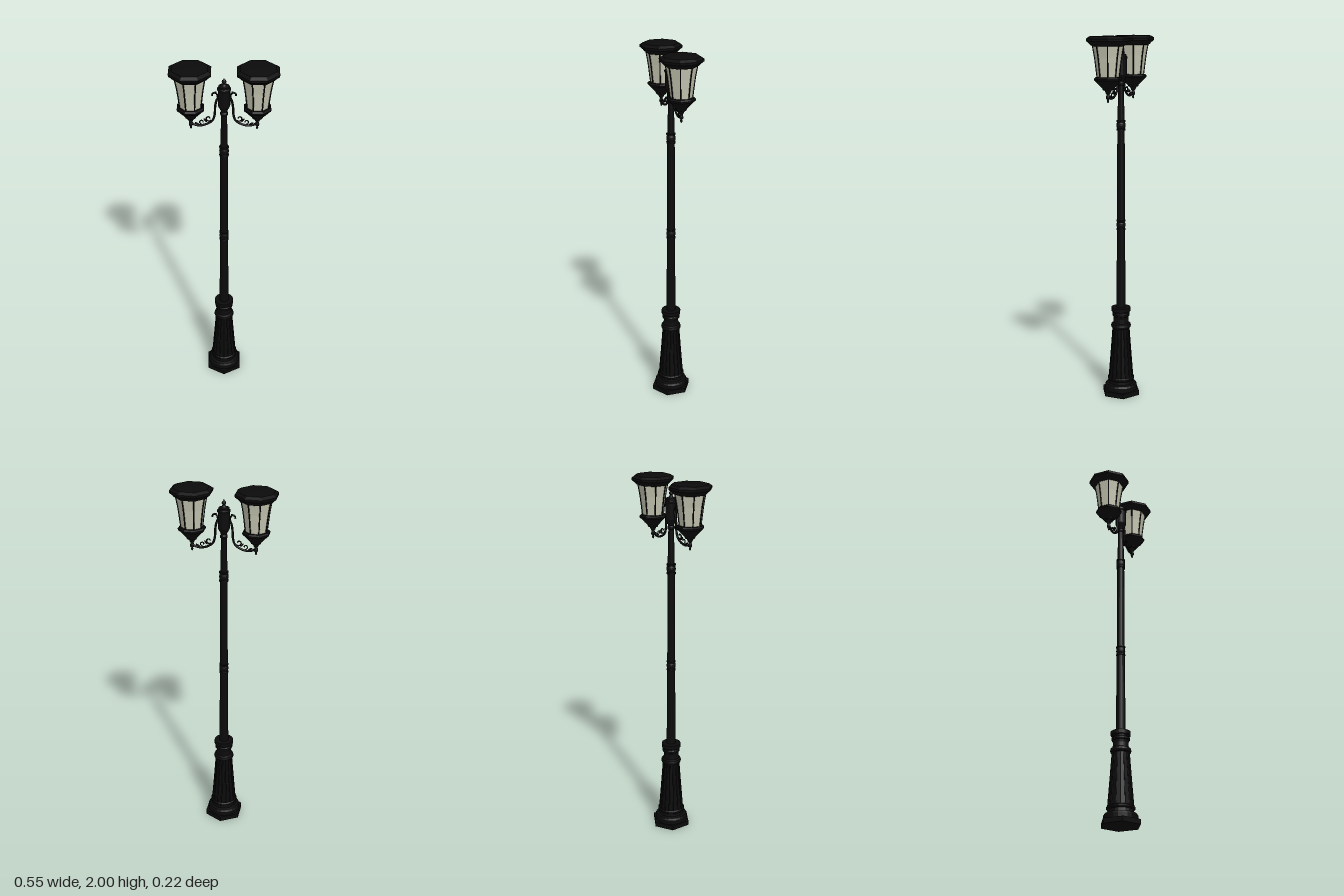
import * as THREE from 'three';

const iron = new THREE.MeshStandardMaterial({ color: 0x0b0b0b });
const facetedIron = new THREE.MeshStandardMaterial({ color: 0x0b0b0b, flatShading: true });
const glass = new THREE.MeshStandardMaterial({ color: 0xc8c8b4, flatShading: true });

const LANTERN_X = 0.168;
const OCT = 1 / Math.cos(Math.PI / 8); // flat-to-corner factor

function add(parent, name, geometry, material) {
  const mesh = new THREE.Mesh(geometry, material);
  mesh.name = name;
  parent.add(mesh);
  return mesh;
}

// Profile is [radius, y] pairs, bottom to top
function turned(parent, name, profile, sides, material = facetedIron, phi = 0, scale = 1) {
  const points = profile.map(([r, y]) => new THREE.Vector2(r * scale, y));
  return add(parent, name, new THREE.LatheGeometry(points, sides, phi), material);
}

const octagonal = (parent, name, profile, material) =>
  turned(parent, name, profile, 8, material, Math.PI / 8, OCT);

function rod(parent, name, points, radius, segments = 24) {
  const curve = new THREE.CatmullRomCurve3(points.map(([x, y, z = 0]) => new THREE.Vector3(x, y, z)));
  return add(parent, name, new THREE.TubeGeometry(curve, segments, radius, 8), iron);
}

// Spiral end of a bracket scroll
function scroll(parent, name, cx, cy, r, start, turn, thickness) {
  const points = [];
  for (let i = 0; i <= 10; i++) {
    const t = i / 10, a = start + turn * t, k = r * (1 - 0.65 * t);
    points.push([cx + k * Math.cos(a), cy + k * Math.sin(a)]);
  }
  return rod(parent, name, points, thickness, 28);
}

function createPost() {
  const post = new THREE.Group();
  post.name = 'post';
  turned(post, 'footPlate', [[0, 0], [0.11, 0], [0.11, 0.027], [0, 0.027]], 6);
  turned(post, 'footMoulding', [
    [0.09, 0.027], [0.09, 0.052], [0.084, 0.062], [0.07, 0.066], [0.068, 0.082],
    [0.075, 0.088], [0.075, 0.097], [0.068, 0.103]], 24);
  turned(post, 'pedestal', [[0.068, 0.1], [0.063, 0.16], [0.053, 0.28], [0.045, 0.39]], 16);
  // Raised ribs up the pedestal
  for (let i = 0; i < 16; i++) {
    const a = (i / 16) * Math.PI * 2, s = Math.sin(a), c = Math.cos(a);
    rod(post, 'pedestalRib', [[0.067 * s, 0.1, 0.067 * c], [0.053 * s, 0.28, 0.053 * c],
      [0.045 * s, 0.39, 0.045 * c]], 0.003, 4);
  }
  turned(post, 'pedestalCap', [
    [0.045, 0.385], [0.053, 0.39], [0.056, 0.4], [0.053, 0.411], [0.043, 0.416], [0.041, 0.44],
    [0.043, 0.455], [0.049, 0.459], [0.049, 0.47], [0.044, 0.475], [0.044, 0.482],
    [0.053, 0.484], [0.053, 0.506], [0.03, 0.507], [0.02, 0.507]], 24);
  turned(post, 'shaft', [
    [0.026, 0.5], [0.022, 0.95], [0.02, 1.5], [0.018, 1.6], [0.015, 1.74], [0.015, 1.78]], 16);
  // Ringed collars on the shaft
  for (const y of [0.975, 1.523]) {
    turned(post, 'shaftCollar', [
      [0.019, y - 0.029], [0.025, y - 0.027], [0.025, y - 0.02], [0.021, y - 0.017], [0.024, y - 0.009],
      [0.025, y], [0.024, y + 0.009], [0.021, y + 0.017], [0.025, y + 0.02], [0.025, y + 0.027],
      [0.018, y + 0.029]], 20);
  }
  turned(post, 'hub', [
    [0.014, 1.735], [0.02, 1.74], [0.02, 1.75], [0.015, 1.757], [0.018, 1.765], [0.028, 1.785],
    [0.031, 1.792], [0.031, 1.875], [0.035, 1.88], [0.035, 1.887], [0.029, 1.892], [0.028, 1.9],
    [0.014, 1.905], [0.009, 1.91], [0.007, 1.917], [0.012, 1.923], [0.01, 1.93],
    [0.004, 1.936], [0, 1.945]], 16);
  return post;
}

function createLantern() {
  const lantern = new THREE.Group();
  lantern.name = 'lantern';
  octagonal(lantern, 'roof', [
    [0.07, 1.945], [0.082, 1.95], [0.09, 1.96], [0.104, 1.972], [0.105, 1.985],
    [0.088, 1.997], [0, 2]]);
  octagonal(lantern, 'ceiling', [[0, 1.945], [0.07, 1.945]]);
  // Flared glass panels, with glazing bars following the corners
  const flare = [[0.052, 1.785], [0.057, 1.83], [0.064, 1.89], [0.074, 1.95]];
  octagonal(lantern, 'glassPanes', flare, glass);
  for (let i = 0; i < 8; i++) {
    const a = (i + 0.5) * Math.PI / 4;
    rod(lantern, 'glazingBar',
      flare.map(([r, y]) => [r * OCT * Math.sin(a), y, r * OCT * Math.cos(a)]), 0.0035, 8);
  }
  octagonal(lantern, 'lowerBowl', [
    [0, 1.718], [0.024, 1.72], [0.028, 1.73], [0.042, 1.745], [0.056, 1.762], [0.067, 1.772],
    [0.068, 1.781], [0.061, 1.788], [0.05, 1.79], [0, 1.79]]);
  turned(lantern, 'pendant', [
    [0, 1.654], [0.005, 1.66], [0.006, 1.666], [0.004, 1.671], [0.01, 1.677], [0.011, 1.685],
    [0.009, 1.693], [0.007, 1.698], [0.012, 1.704], [0.014, 1.71], [0.02, 1.722]], 14, iron);
  return lantern;
}

function createBracket() {
  const bracket = new THREE.Group();
  bracket.name = 'bracket';
  // Main arm sweeping down from the hub and out to the lantern
  rod(bracket, 'arm', [
    [0.028, 1.84], [0.039, 1.815], [0.045, 1.78], [0.047, 1.74], [0.058, 1.705],
    [0.085, 1.685], [0.12, 1.675], [0.15, 1.68], [0.168, 1.692]], 0.006, 40);
  rod(bracket, 'leafStem', [[0.031, 1.835], [0.036, 1.855], [0.047, 1.863], [0.057, 1.858], [0.06, 1.846]], 0.0045);
  scroll(bracket, 'innerScroll', 0.078, 1.716, 0.017, -2.4, 5.4, 0.0035);
  scroll(bracket, 'outerScroll', 0.112, 1.696, 0.014, -1.6, 5.2, 0.003);
  // Small leaves along the arm
  for (const [x, y, tilt] of [[0.048, 1.862, -0.5], [0.043, 1.8, 1.9], [0.095, 1.705, 0.9], [0.137, 1.686, 0.5]]) {
    const leaf = add(bracket, 'leaf', new THREE.SphereGeometry(1, 10, 6), iron);
    leaf.scale.set(0.013, 0.004, 0.007);
    leaf.position.set(x, y, 0);
    leaf.rotation.z = tilt;
  }
  return bracket;
}

export function createModel() {
  const model = new THREE.Group();
  model.name = 'streetLamp';
  model.add(createPost());
  // The two sides match, half a turn apart
  for (const side of ['left', 'right']) {
    const half = new THREE.Group();
    half.name = side + 'Lamp';
    const lantern = createLantern();
    lantern.position.x = LANTERN_X;
    half.add(lantern, createBracket());
    if (side === 'right') half.rotation.y = Math.PI;
    model.add(half);
  }
  return model;
}
